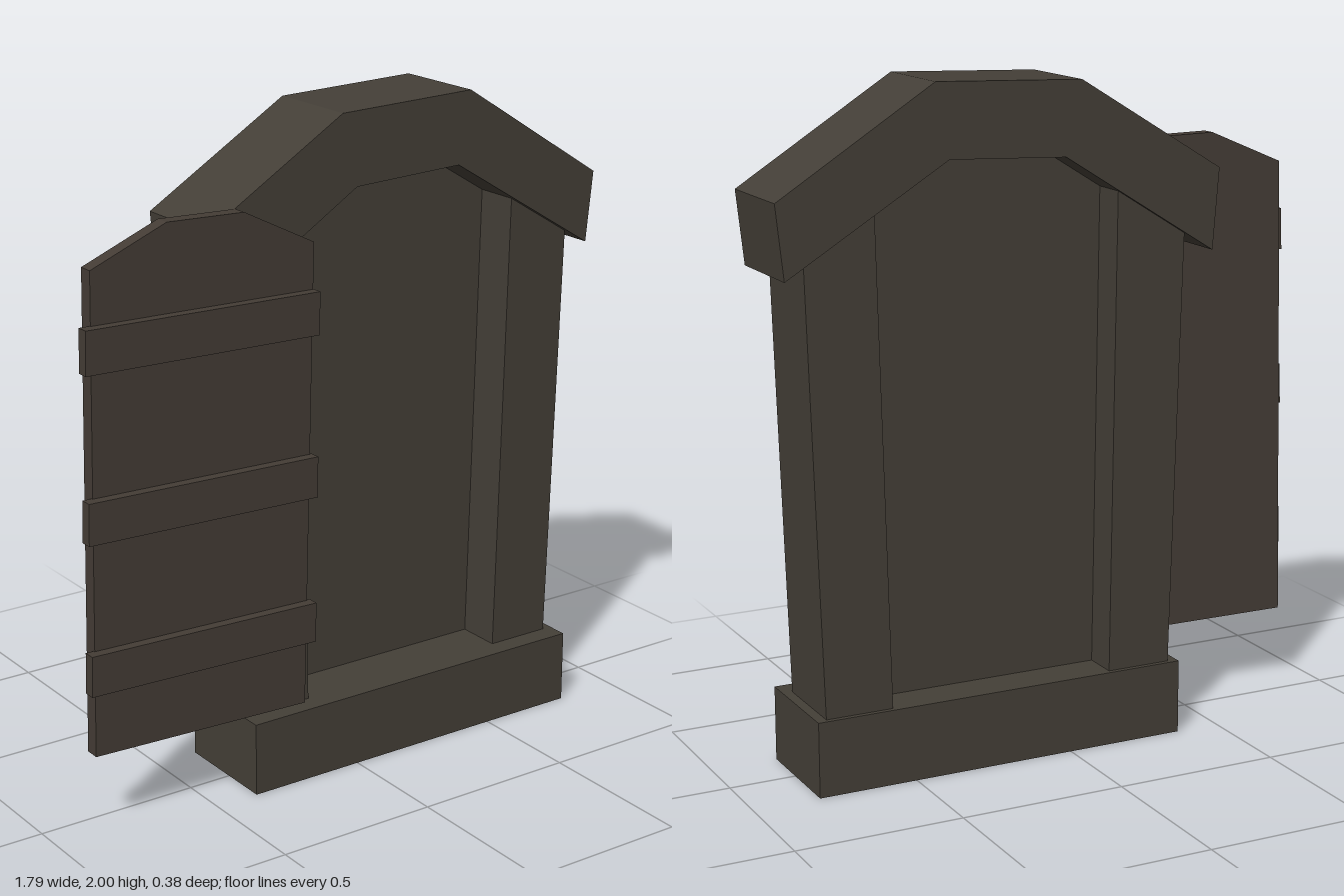
import * as THREE from 'three';

const stone = new THREE.MeshStandardMaterial({ color: 0x443f37 });
stone.name = 'dark stone';
const wood = new THREE.MeshStandardMaterial({ color: 0x443c35 });
wood.name = 'dark wood';

// Flat outline in x/y given thickness from z0 to z1
function slab(name, points, z0, z1, material) {
  const shape = new THREE.Shape(points.map(([x, y]) => new THREE.Vector2(x, y)));
  const geometry = new THREE.ExtrudeGeometry(shape, { depth: z1 - z0, bevelEnabled: false });
  geometry.translate(0, 0, z0);
  const mesh = new THREE.Mesh(geometry, material);
  mesh.name = name;
  return mesh;
}

// Tilt a door part: top leans forward, outer edge swings back
function lean(mesh) {
  const p = mesh.geometry.attributes.position;
  for (let i = 0; i < p.count; i++) {
    p.setZ(i, p.getZ(i) + 0.04 * (p.getX(i) + 0.17) + 0.0235 * (p.getY(i) - 0.25));
  }
  mesh.geometry.computeVertexNormals();
  return mesh;
}

export function createModel() {
  const model = new THREE.Group();
  model.name = 'stoneDoorway';

  // Threshold block
  model.add(slab('base', [[-0.365, 0], [0.8, 0], [0.8, 0.225], [-0.365, 0.225]], -0.19, 0.15, stone));

  // Posts, splayed slightly outward
  model.add(slab('leftPost', [[0.565, 0.22], [0.77, 0.22], [0.81, 1.56], [0.6, 1.69]], -0.175, 0.085, stone));
  model.add(slab('rightPost', [[-0.335, 0.22], [-0.135, 0.22], [-0.155, 1.69], [-0.375, 1.56]], -0.175, 0.085, stone));

  // Angular arch
  model.add(slab('arch', [
    [0.87, 1.485], [0.893, 1.7], [0.42, 2], [-0.03, 1.985], [-0.48, 1.71],
    [-0.46, 1.47], [0.02, 1.77], [0.38, 1.785],
  ], -0.19, 0.11, stone));

  // Recessed panel closing the opening
  model.add(slab('panel', [
    [-0.15, 0.22], [0.58, 0.22], [0.62, 1.66], [0.39, 1.8], [0.01, 1.785], [-0.17, 1.67],
  ], -0.065, -0.055, stone));

  // Leaning door with three cross battens
  const door = new THREE.Group();
  door.name = 'door';
  door.add(lean(slab('doorLeaf', [
    [-0.872, 0.247], [-0.178, 0.24], [-0.165, 1.65], [-0.39, 1.765], [-0.63, 1.77], [-0.862, 1.67],
  ], 0.085, 0.13, wood)));
  [[0.45, 0.573], [0.903, 1.027], [1.39, 1.517]].forEach(([y0, y1], i) => {
    door.add(lean(slab(`batten${i + 1}`, [
      [-0.897, y0], [-0.163, y0 - 0.004], [-0.163, y1 - 0.004], [-0.895, y1],
    ], 0.125, 0.161, wood)));
  });
  model.add(door);

  return model;
}
